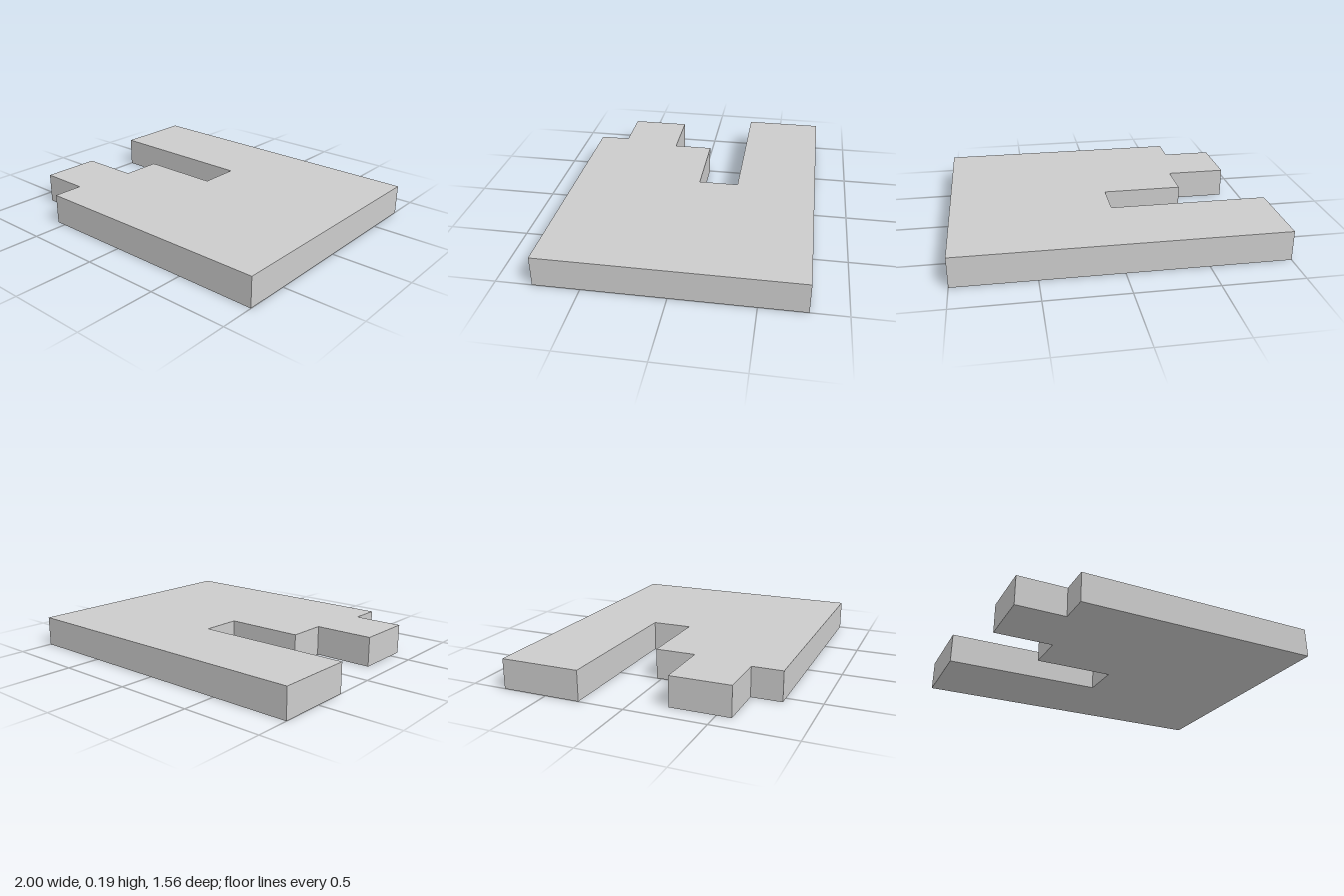
import * as THREE from 'three';

const THICKNESS = 0.1875;

// Plan outline as [x, z] corners, starting at the back left corner
const OUTLINE = [
  [1, -0.78125], [-1, -0.78125], [-1, -0.28125], // long back arm
  [0, -0.28125], [0, -0.03125],                  // deep slot
  [-0.5, -0.03125], [-0.5, 0.21875],             // step
  [-0.875, 0.21875], [-0.875, 0.59],             // short tab
  [-0.5625, 0.59], [-0.5625, 0.78125],           // front shoulder
  [1, 0.78125],
];

export function createModel() {
  const group = new THREE.Group();
  group.name = 'notchedSlab';

  // Flat slab: outline drawn in plan, extruded upward
  const shape = new THREE.Shape(OUTLINE.map(([x, z]) => new THREE.Vector2(x, -z)));
  const geometry = new THREE.ExtrudeGeometry(shape, { depth: THICKNESS, bevelEnabled: false });
  geometry.rotateX(-Math.PI / 2);

  const slab = new THREE.Mesh(
    geometry,
    new THREE.MeshStandardMaterial({ color: 0xcccccc, flatShading: true })
  );
  slab.name = 'slab';
  group.add(slab);
  return group;
}
